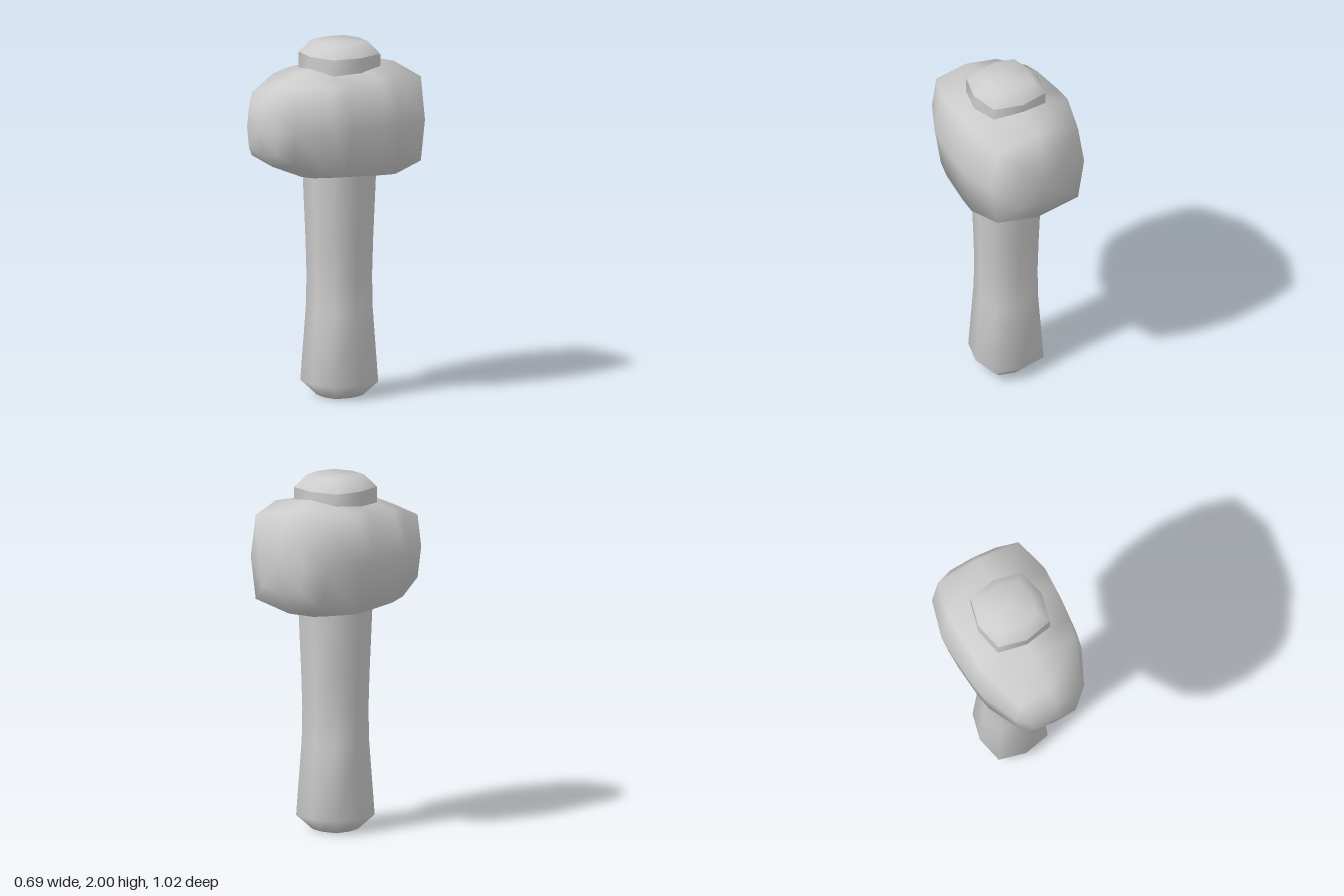
import * as THREE from 'three';
import { mergeVertices } from 'three/addons/utils/BufferGeometryUtils.js';

const material = new THREE.MeshStandardMaterial({ color: 0xcccccc });

// Smooth eight-sided loft along y. Rings are [y, halfX, halfZ]; the corner
// points sit at the given fractions of the half sizes (a bulging octagon).
function loft(rings, cornerX, cornerZ) {
  const positions = [];
  const index = [];
  rings.forEach(([y, rx, rz = rx], i) => {
    for (let k = 0; k < 8; k++) {
      const c = Math.sign(Math.round(Math.cos(k * Math.PI / 4) * 10));
      const s = Math.sign(Math.round(Math.sin(k * Math.PI / 4) * 10));
      const corner = k % 2 === 1;
      positions.push(c * rx * (corner ? cornerX : 1), y, s * rz * (corner ? cornerZ : 1));
      if (i === rings.length - 1) continue;
      const a = i * 8 + k, b = i * 8 + (k + 1) % 8;
      if (rx > 0) index.push(a, a + 8, b);
      if (rings[i + 1][1] > 0) index.push(b, a + 8, b + 8);
    }
  });
  const geometry = new THREE.BufferGeometry();
  geometry.setAttribute('position', new THREE.Float32BufferAttribute(positions, 3));
  geometry.setIndex(index);
  const merged = mergeVertices(geometry, 1e-5);
  merged.computeVertexNormals();
  return merged;
}

function part(name, geometry, z = 0, y = 0) {
  const mesh = new THREE.Mesh(geometry, material);
  mesh.name = name;
  mesh.position.set(0, y, z);
  return mesh;
}

export function createModel() {
  const group = new THREE.Group();
  group.name = 'hammer';

  // Handle with a flared foot and a narrow grip, running through the head
  const handle = loft([
    [0, 0], [0, 0.11], [0.08, 0.19], [0.5, 0.163], [0.68, 0.16],
    [0.88, 0.165], [1.25, 0.179], [1.75, 0.195],
  ], 0.81, 0.81);
  group.add(part('handle', handle, -0.05));

  // Handle end above the head: straight collar and bevelled top
  group.add(part('collar', loft([[1.72, 0.2], [1.93, 0.2]], 0.81, 0.81), -0.05));
  group.add(part('handleTop', loft([[1.93, 0.2], [2, 0.138], [2, 0]], 0.81, 0.81), -0.05));

  // Stone head, tapered towards the front and blunt at the back
  const head = loft([
    [-0.515, 0], [-0.488, 0.165], [-0.425, 0.29, 0.286], [-0.21, 0.347, 0.338],
    [-0.1, 0.345, 0.332], [0.11, 0.327, 0.316], [0.21, 0.308, 0.295],
    [0.415, 0.215, 0.213], [0.48, 0.145], [0.51, 0],
  ], 0.87, 0.83);
  head.rotateX(Math.PI / 2);
  group.add(part('head', head, 0, 1.555));

  return group;
}
